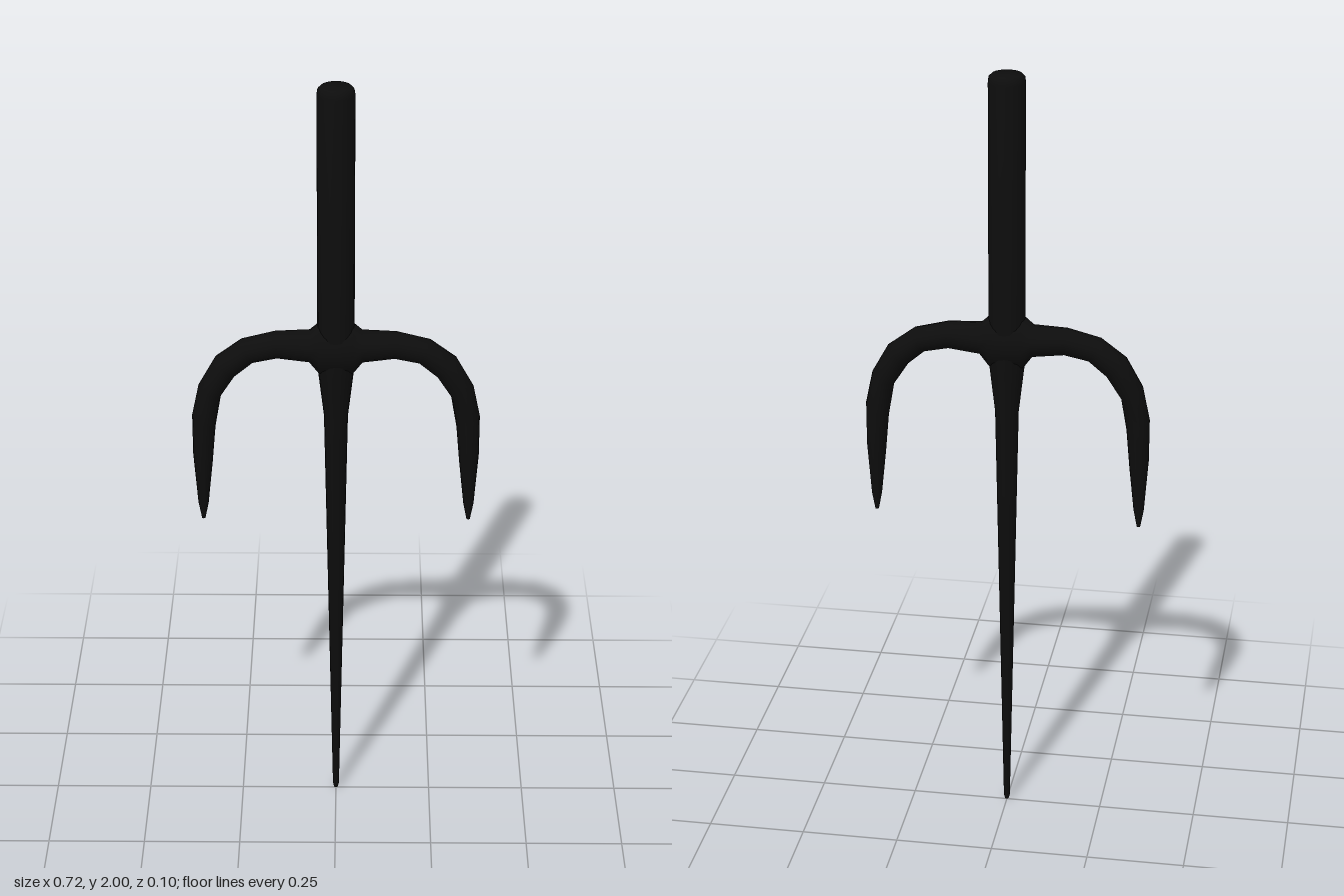
import * as THREE from 'three';
import { toCreasedNormals } from 'three/addons/utils/BufferGeometryUtils.js';

// Half of the guard: outer edge x, y, inner edge x, y, half depth
const HALF_GUARD = [
  [0, 1.385, 0, 1.25, 0.053],
  [0.042, 1.385, 0.042, 1.25, 0.047],
  [0.065, 1.363, 0.066, 1.283, 0.044],
  [0.15, 1.36, 0.145, 1.292, 0.035],
  [0.235, 1.338, 0.205, 1.28, 0.036],
  [0.30, 1.29, 0.25, 1.242, 0.036],
  [0.342, 1.215, 0.287, 1.185, 0.034],
  [0.36, 1.13, 0.302, 1.10, 0.031],
  [0.36, 1.02, 0.311, 1.0, 0.026],
  [0.35, 0.88, 0.324, 0.88, 0.013],
  [0.342, 0.835, 0.333, 0.835, 0.005],
];

// Skin a row of elliptical cross-sections and cap both ends
function sweep(sections, sides) {
  const pos = [], index = [];
  for (const [ox, oy, ix, iy, depth] of sections) {
    for (let j = 0; j < sides; j++) {
      const a = (j / sides) * Math.PI * 2, t = (1 + Math.cos(a)) / 2;
      pos.push(ix + (ox - ix) * t, iy + (oy - iy) * t, Math.sin(a) * depth);
    }
  }
  for (let i = 0; i < sections.length - 1; i++) {
    for (let j = 0; j < sides; j++) {
      const k = (j + 1) % sides;
      const a = i * sides + j, b = i * sides + k, c = a + sides, d = b + sides;
      index.push(a, b, c, b, d, c);
    }
  }
  const last = (sections.length - 1) * sides;
  for (let j = 1; j < sides - 1; j++) {
    index.push(0, j + 1, j, last, last + j, last + j + 1);
  }
  const geo = new THREE.BufferGeometry();
  geo.setAttribute('position', new THREE.Float32BufferAttribute(pos, 3));
  geo.setIndex(index);
  return toCreasedNormals(geo, 0.8);
}

function lathe(points, sides) {
  const geo = new THREE.LatheGeometry(points.map(([r, y]) => new THREE.Vector2(r, y)), sides);
  return toCreasedNormals(geo, 0.8);
}

export function createModel() {
  const group = new THREE.Group();
  const black = new THREE.MeshStandardMaterial({ color: 0x0d0d0d });
  black.name = 'black metal';

  const add = (name, geo) => {
    const mesh = new THREE.Mesh(geo, black);
    mesh.name = name;
    group.add(mesh);
  };

  // Round grip with a softened pommel edge
  add('handle', lathe([[0.046, 1.33], [0.046, 1.98], [0.044, 1.993], [0.037, 2], [0, 2]], 20));

  // Long tapering spike, flaring where it meets the guard
  add('blade', lathe([[0, 0], [0.005, 0.003], [0.008, 0.015], [0.03, 1.13], [0.044, 1.25], [0.046, 1.33]], 16));

  // Curved guard with two downward prongs, mirrored about the centre;
  const left = HALF_GUARD.slice(1).reverse().map(([ox, oy, ix, iy, d]) => [-ox, oy, -ix, iy, d]);
  add('guard', sweep([...left, ...HALF_GUARD], 14));

  return group;
}
